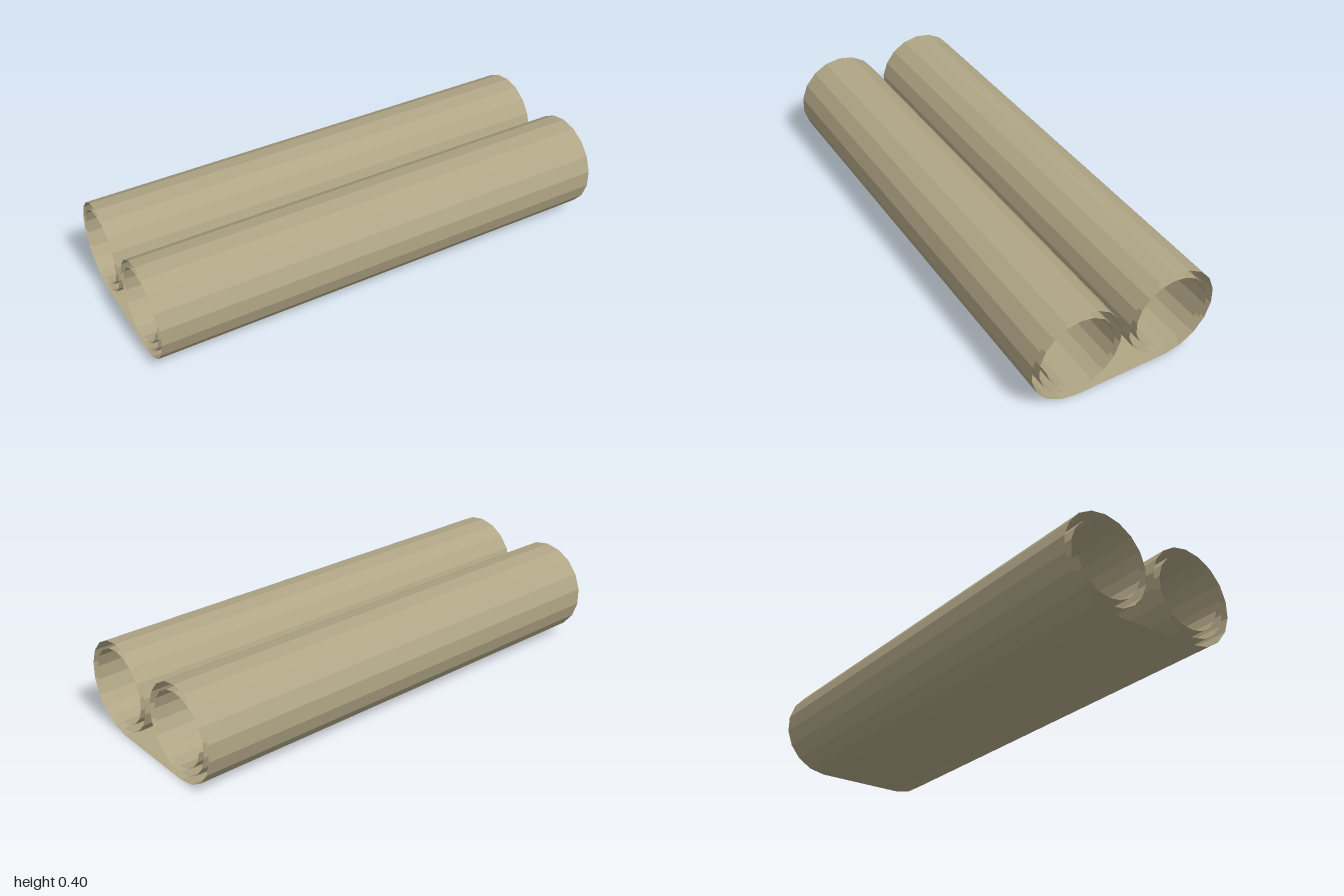
import * as THREE from 'three';

const HALF_LENGTH = 1;
const SIDES = 18; // facets per turn
const STEPS = 40; // facets per roll
const CENTRE_Z = 0.203;
const RADIUS = 0.209;
const SHRINK = 0.031; // radius lost per turn

// Spiral cross-section as [z, y], from the bottom of the roll outwards, up and inwards
function spiral(side) {
  const points = [];
  for (let i = 0; i <= STEPS; i++) {
    const angle = (i / SIDES) * Math.PI * 2;
    const r = RADIUS - (SHRINK * i) / SIDES;
    points.push([side * (CENTRE_Z + r * Math.sin(angle)), RADIUS - r * Math.cos(angle)]);
  }
  return points;
}

// Thin sheet stretched along x over a cross-section
function sheet(name, profile, material) {
  const positions = [];
  const indices = [];
  profile.forEach(([z, y], i) => {
    positions.push(-HALF_LENGTH, y, z, HALF_LENGTH, y, z);
    if (i > 0) {
      const a = 2 * (i - 1);
      indices.push(a, a + 1, a + 2, a + 1, a + 3, a + 2);
    }
  });
  const geometry = new THREE.BufferGeometry();
  geometry.setAttribute('position', new THREE.Float32BufferAttribute(positions, 3));
  geometry.setIndex(indices);
  geometry.computeVertexNormals();
  const mesh = new THREE.Mesh(geometry, material);
  mesh.name = name;
  return mesh;
}

export function createModel() {
  const group = new THREE.Group();
  group.name = 'scroll';
  const paper = new THREE.MeshStandardMaterial({
    color: 0xb0a585,
    flatShading: true,
    side: THREE.DoubleSide,
  });

  // Two rolled ends joined by a flat strip on the ground
  group.add(sheet('frontRoll', spiral(1), paper));
  group.add(sheet('backRoll', spiral(-1), paper));
  group.add(sheet('flatStrip', [[-CENTRE_Z, 0], [CENTRE_Z, 0]], paper));
  return group;
}
